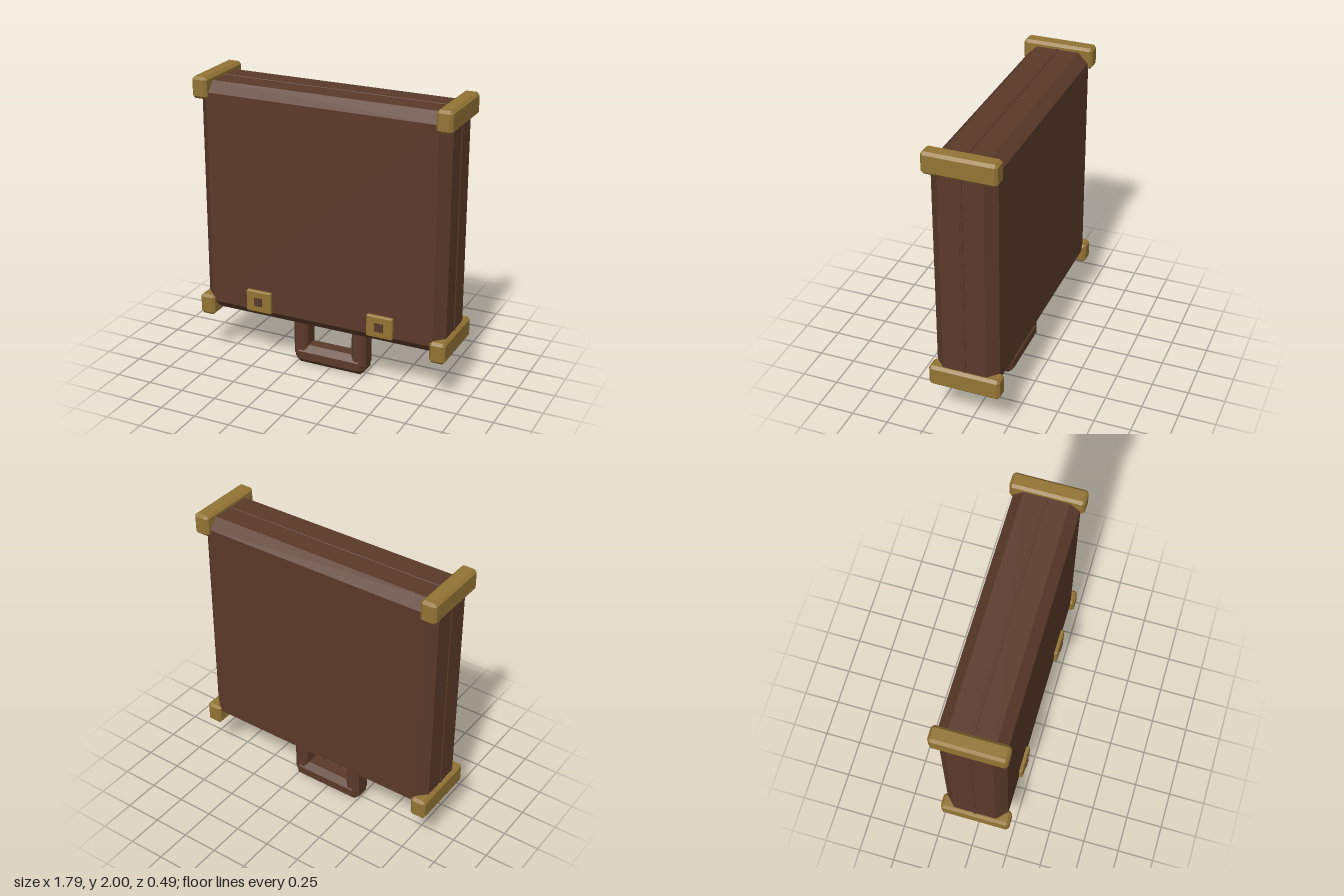
import * as THREE from 'three';
import { ConvexGeometry } from 'three/addons/geometries/ConvexGeometry.js';

const leather = new THREE.MeshStandardMaterial({ color: 0x5a3a2a });
leather.name = 'brown leather';
const brass = new THREE.MeshStandardMaterial({ color: 0x937434 });
brass.name = 'aged brass';

// Box with every edge chamfered by b
function chamferBox(w, h, d, b) {
  const points = [];
  for (const sx of [-1, 1]) for (const sy of [-1, 1]) for (const sz of [-1, 1]) {
    const x = w / 2, y = h / 2, z = d / 2;
    points.push(
      new THREE.Vector3(sx * x, sy * (y - b), sz * (z - b)),
      new THREE.Vector3(sx * (x - b), sy * y, sz * (z - b)),
      new THREE.Vector3(sx * (x - b), sy * (y - b), sz * z)
    );
  }
  return new ConvexGeometry(points);
}

export function createModel() {
  const model = new THREE.Group();
  model.name = 'briefcase';
  const add = (name, geometry, material, x, y, z) => {
    const mesh = new THREE.Mesh(geometry, material);
    mesh.name = name;
    mesh.position.set(x, y, z);
    model.add(mesh);
  };

  // Case with a thin raised seam where the halves meet
  const midY = 1.158;
  add('caseBody', chamferBox(1.744, 1.614, 0.426, 0.067), leather, 0, midY, -0.003);
  add('caseSeam', chamferBox(1.756, 1.626, 0.02, 0.003), leather, 0, midY, -0.003);

  // Corner guards
  const guard = chamferBox(0.108, 0.146, 0.482, 0.018);
  for (const x of [-0.843, 0.843]) for (const y of [0.388, 1.927]) {
    add('cornerGuard', guard, brass, x, y, -0.003);
  }

  // Handle
  add('handleGrip', chamferBox(0.53, 0.137, 0.16, 0.04), leather, 0, 0.0685, -0.002);
  const leg = chamferBox(0.102, 0.36, 0.146, 0.022);
  const collar = chamferBox(0.128, 0.05, 0.17, 0.01);
  const latch = chamferBox(0.184, 0.154, 0.036, 0.007);
  const button = new THREE.BoxGeometry(0.058, 0.058, 0.03);
  for (const side of [-1, 1]) {
    add('handleLeg', leg, leather, side * 0.216, 0.23, -0.002);
    add('handleCollar', collar, brass, side * 0.216, 0.343, -0.002);
    // Latches
    add('latchPlate', latch, brass, side * 0.442, 0.488, 0.217);
    add('latchButton', button, leather, side * 0.442, 0.488, 0.228);
  }
  return model;
}
